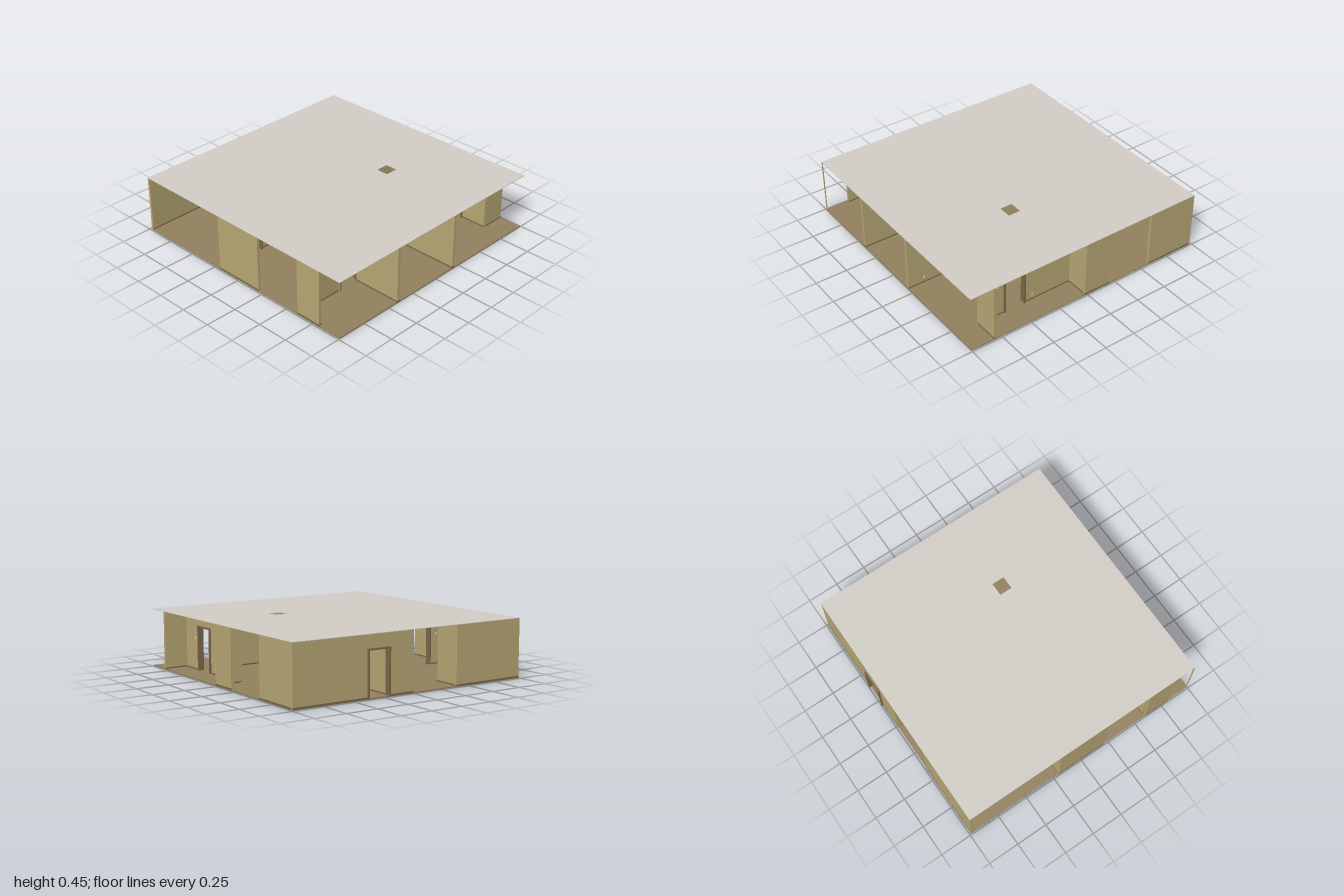
import * as THREE from 'three';

const mat = (name, color) => {
  const m = new THREE.MeshStandardMaterial({ color });
  m.name = name;
  return m;
};

export function createModel() {
  const wallMat = mat('wall yellow', 0xbaaa76);
  const ceilingMat = mat('ceiling grey', 0xd4d0c8);
  const floorMat = mat('floor brown', 0x94825f);
  const trimMat = mat('trim brown', 0x7d6b4c);
  const plateMat = mat('plate cream', 0xe6e2d6);
  const model = new THREE.Group();
  model.name = 'officeFloor';

  const H = 0.446, T = 0.02, DOOR = 0.35, BASE = 0.018, JAMB = 0.012;

  const box = (parent, name, material, x0, x1, y0, y1, z0, z1) => {
    const mesh = new THREE.Mesh(new THREE.BoxGeometry(x1 - x0, y1 - y0, z1 - z0), material);
    mesh.position.set((x0 + x1) / 2, (y0 + y1) / 2, (z0 + z1) / 2);
    mesh.name = name;
    parent.add(mesh);
  };

  // Box given along a wall: axis of the run, line it stands on, span, heights, thickness
  const slab = (parent, name, material, axis, line, a, b, y0, y1, t) => {
    if (axis === 'x') box(parent, name, material, a, b, y0, y1, line - t / 2, line + t / 2);
    else box(parent, name, material, line - t / 2, line + t / 2, y0, y1, a, b);
  };

  // Wall with baseboard, and optionally a framed doorway from door[0] to door[1]
  const wall = (axis, line, a, b, door) => {
    const g = new THREE.Group();
    g.name = 'wall';
    model.add(g);
    const spans = door ? [[a, door[0]], [door[1], b]] : [[a, b]];
    for (const [p, q] of spans) {
      if (q - p < 0.005) continue;
      slab(g, 'wallPanel', wallMat, axis, line, p, q, 0.004, H, T);
      slab(g, 'baseboard', trimMat, axis, line, p, q, 0.004, BASE, T + 0.008);
    }
    if (!door) return;
    const [d0, d1] = door, depth = T + 0.026;
    slab(g, 'doorLintel', wallMat, axis, line, d0, d1, DOOR - 0.005, H, T);
    slab(g, 'doorJamb', trimMat, axis, line, d0, d0 + JAMB, 0.004, DOOR, depth);
    slab(g, 'doorJamb', trimMat, axis, line, d1 - JAMB, d1, 0.004, DOOR, depth);
    slab(g, 'doorHead', trimMat, axis, line, d0 + JAMB, d1 - JAMB, DOOR - JAMB, DOOR, depth);
  };

  // Floor slab
  box(model, 'floor', floorMat, -0.99, 0.99, 0, 0.008, -0.985, 1);

  // Thin ceiling with a square opening
  const shape = new THREE.Shape([[-0.99, -0.985], [0.99, -0.985], [0.99, 1], [-0.99, 1]]
    .map(p => new THREE.Vector2(...p)));
  shape.holes.push(new THREE.Path([[0.29, 0.155], [0.29, 0.255], [0.395, 0.255], [0.395, 0.155]]
    .map(p => new THREE.Vector2(...p))));
  const ceilingGeo = new THREE.ExtrudeGeometry(shape, { depth: 0.004, bevelEnabled: false });
  ceilingGeo.rotateX(Math.PI / 2);
  const ceiling = new THREE.Mesh(ceilingGeo, ceilingMat);
  ceiling.position.y = 0.45;
  ceiling.name = 'ceiling';
  model.add(ceiling);

  // Back wall, in two runs with a wide gap
  wall('x', -0.975, -0.99, -0.395);
  wall('x', -0.975, -0.005, 0.99, [0.2, 0.39]);

  // Outer side walls
  wall('z', 0.98, -0.965, -0.575);
  wall('z', 0.98, -0.2, 0.02);
  wall('z', -0.98, -0.2, 0.21);
  wall('z', -0.98, 0.6, 0.81);
  box(model, 'cornerPost', wallMat, -0.99, -0.983, 0.004, H, 0.993, 1);

  // Inner walls running front to back
  wall('z', -0.405, -0.965, -0.77);
  wall('z', 0.005, -0.965, -0.2);
  wall('z', 0.19, -0.965, -0.6);
  wall('z', -0.405, 0.61, 1);
  wall('z', 0.19, -0.2, 1, [0.21, 0.4]);
  wall('z', 0.795, 0.0, 0.81, [0.415, 0.6]);

  // Inner walls running side to side
  wall('x', -0.19, -0.97, 0.18, [-0.79, -0.6]);
  wall('x', 0.01, 0.2, 0.605);
  wall('x', 0.01, 0.805, 0.97);
  wall('x', 0.602, -0.97, -0.19, [-0.595, -0.4]);
  wall('x', 0.602, 0.2, 0.6);
  wall('x', 0.802, 0.805, 0.99);

  // Switches (high) and outlets (low): wall axis, line, position along it, height, side
  const plates = [
    ['x', 0.602, -0.645, 0.25, 1], ['x', -0.19, -0.553, 0.25, 1],
    ['x', -0.19, 0.13, 0.052, 1], ['x', -0.19, -0.845, 0.25, -1],
    ['z', 0.795, 0.65, 0.25, 1], ['z', 0.19, 0.455, 0.25, 1],
    ['z', 0.19, 0.865, 0.052, 1], ['z', 0.795, 0.35, 0.052, 1],
  ];
  for (const [axis, line, p, y, side] of plates) {
    slab(model, y > 0.1 ? 'lightSwitch' : 'outlet', plateMat, axis,
      line + side * (T / 2 + 0.001), p - 0.007, p + 0.007, y - 0.008, y + 0.008, 0.004);
  }
  return model;
}
